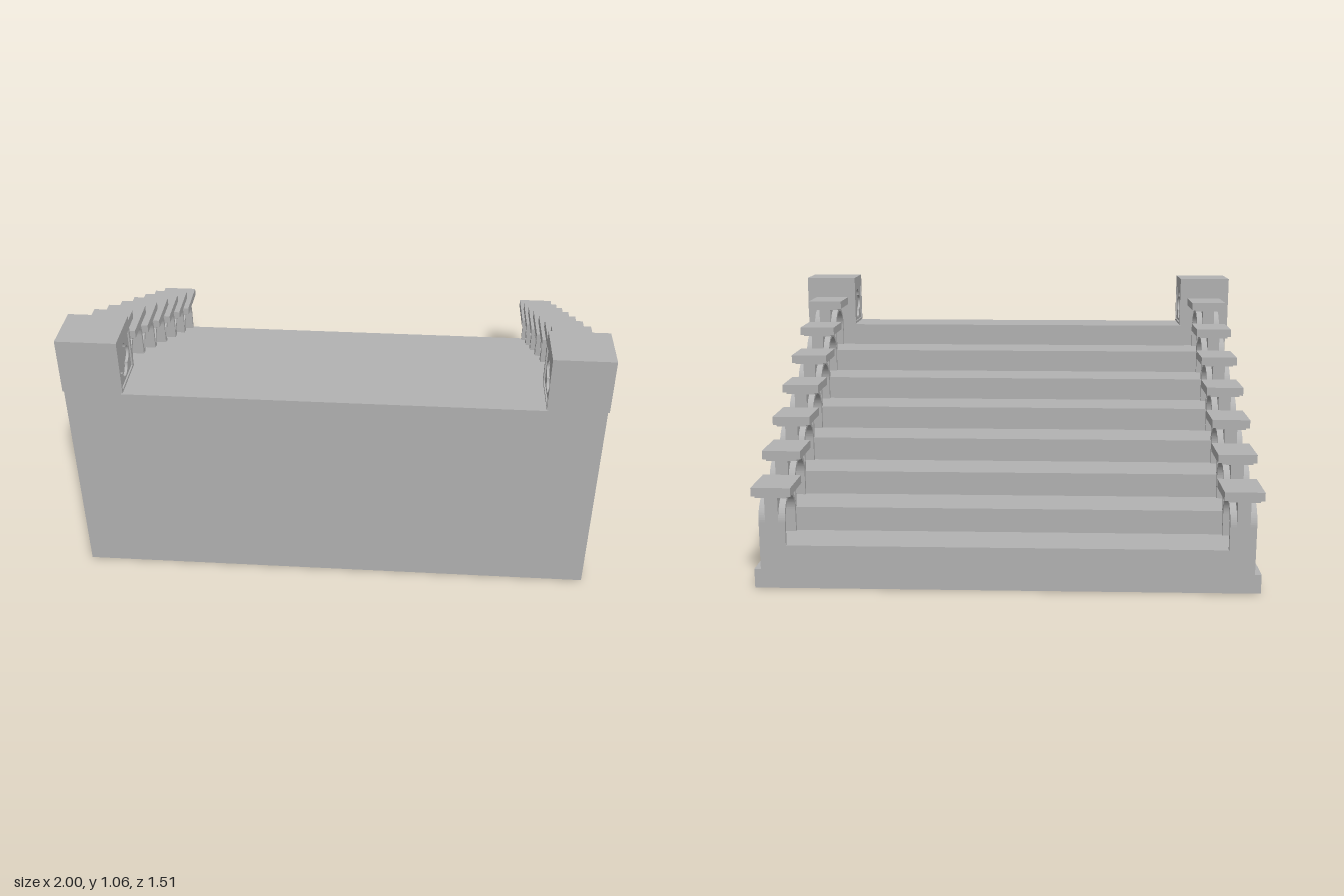
import * as THREE from 'three';

const stone = new THREE.MeshStandardMaterial({ color: 0xb2b2b2 });
stone.name = 'stone';

const STEPS = 7, BACK = -0.755, RUN = 0.189, RISE = 0.095, FIRST = 0.17;
const RAIL_X = 0.885, PILLAR_X = 0.8875;

function add(parent, name, geometry) {
  const mesh = new THREE.Mesh(geometry, stone);
  mesh.name = name;
  parent.add(mesh);
  return mesh;
}

// box given by its limits
function box(parent, name, x0, x1, y0, y1, z0, z1) {
  const g = new THREE.BoxGeometry(x1 - x0, y1 - y0, z1 - z0);
  g.translate((x0 + x1) / 2, (y0 + y1) / 2, (z0 + z1) / 2);
  return add(parent, name, g);
}

// shape drawn in (z, y), extruded from x0 to x1
function slab(parent, name, shape, x0, x1) {
  const g = new THREE.ExtrudeGeometry(shape, { depth: x1 - x0, bevelEnabled: false, curveSegments: 16 });
  g.rotateY(-Math.PI / 2);
  g.translate(x1, 0, 0);
  return add(parent, name, g);
}

function rect(z0, z1, y0, y1, Type = THREE.Shape) {
  return new Type([[z0, y0], [z1, y0], [z1, y1], [z0, y1]].map(p => new THREE.Vector2(...p)));
}

function quatrefoil(z, y, r) {
  const path = new THREE.Path();
  for (let i = 0; i < 4; i++) {
    const a = i * Math.PI / 2;
    path.absarc(z + r * Math.cos(a), y + r * Math.sin(a), r, a - Math.PI / 2, a + Math.PI / 2, false);
  }
  return path;
}

// one arched bay of the balustrade, sill at y = 0, centred on z = 0
function archBay() {
  const bay = new THREE.Group();
  bay.name = 'balustradeBay';
  const spring = 0.09, inner = 0.08, outer = RUN / 2;

  const ring = new THREE.Shape();
  ring.moveTo(outer, 0);
  ring.lineTo(outer, spring);
  ring.absarc(0, spring, outer, 0, Math.PI, false);
  ring.lineTo(-outer, 0);
  ring.lineTo(-inner, 0);
  ring.lineTo(-inner, spring);
  ring.absarc(0, spring, inner, Math.PI, 0, true);
  ring.lineTo(inner, 0);
  slab(bay, 'archRing', ring, -0.05, 0.05);

  const spandrel = new THREE.Shape();
  spandrel.moveTo(outer, spring);
  spandrel.lineTo(outer, 0.195);
  spandrel.lineTo(-outer, 0.195);
  spandrel.lineTo(-outer, spring);
  spandrel.lineTo(-0.088, spring);
  spandrel.absarc(0, spring, 0.088, Math.PI, 0, true);
  slab(bay, 'spandrel', spandrel, -0.025, 0.025);

  box(bay, 'capMoulding', -0.06, 0.06, 0.186, 0.193, -outer, outer);
  box(bay, 'cap', -0.075, 0.075, 0.192, 0.225, -outer, outer);
  return bay;
}

// square end pillar with panelled sides, centred on x = 0
function pillar() {
  const p = new THREE.Group();
  p.name = 'pillar';
  box(p, 'pillarCore', -0.097, 0.097, 0, 1.02, 0.577, 0.753);
  box(p, 'pillarCap', -0.1125, 0.1125, 1.01, 1.057, 0.567, 0.755);

  const shaft = rect(0.575, 0.755, 0, 0.84);
  shaft.holes.push(rect(0.605, 0.72, 0.265, 0.8, THREE.Path));
  const frame = rect(0.567, 0.755, 0.838, 1.01);
  frame.holes.push(rect(0.583, 0.744, 0.848, 1.004, THREE.Path));
  const tracery = rect(0.575, 0.75, 0.842, 1.008);
  tracery.holes.push(quatrefoil(0.664, 0.927, 0.034));

  for (const s of [-1, 1]) {
    const side = (name, shape, top) => slab(p, name, shape, s > 0 ? 0.09 : -top, s > 0 ? top : -0.09);
    side('shaftPanel', shaft, 0.1065);
    side('upperFrame', frame, 0.1125);
    side('quatrefoilPanel', tracery, 0.107);
  }
  // plain front and back faces
  box(p, 'shaftFace', -0.1065, 0.1065, 0, 0.84, 0.745, 0.755);
  box(p, 'upperFace', -0.1125, 0.1125, 0.838, 1.012, 0.745, 0.755);
  box(p, 'upperBack', -0.1125, 0.1125, 0.838, 1.012, 0.567, 0.582);
  return p;
}

export function createModel() {
  const model = new THREE.Group();
  model.name = 'staircase';

  // stepped body rising toward the front
  const profile = new THREE.Shape();
  profile.moveTo(0.6, 0);
  for (let i = STEPS - 1; i >= 0; i--) {
    const y = FIRST + i * RISE;
    profile.lineTo(i === STEPS - 1 ? 0.6 : BACK + (i + 1) * RUN, y);
    profile.lineTo(BACK + i * RUN, y);
  }
  profile.lineTo(BACK, 0);
  slab(model, 'steps', profile, -0.935, 0.935);
  box(model, 'topLanding', -0.8, 0.8, 0, 0.835, BACK + STEPS * RUN, 0.755);

  for (const s of [-1, 1]) {
    const side = new THREE.Group();
    side.name = s > 0 ? 'leftSide' : 'rightSide';
    model.add(side);

    box(side, 'plinth', s > 0 ? 0.9 : -0.96, s > 0 ? 0.96 : -0.9, 0, 0.075, BACK, 0.6);

    for (let i = 0; i < STEPS; i++) {
      const bay = archBay();
      bay.position.set(s * RAIL_X, FIRST + i * RISE, BACK + (i + 0.5) * RUN);
      side.add(bay);
    }

    const post = pillar();
    post.position.x = s * PILLAR_X;
    side.add(post);
  }
  return model;
}
